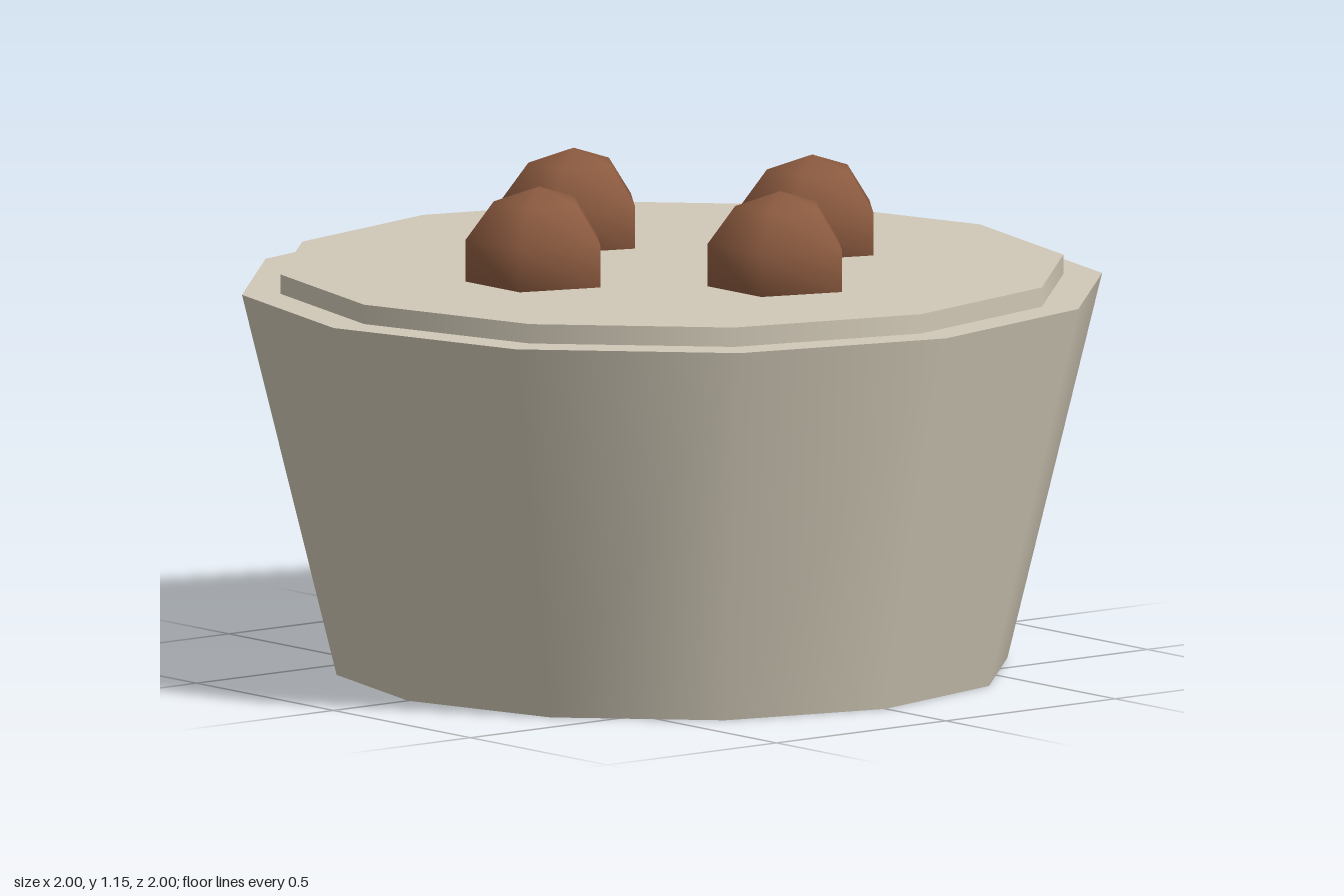
import * as THREE from 'three';

export function createModel() {
  const model = new THREE.Group();
  const stone = new THREE.MeshStandardMaterial({ name: 'pale stone', color: 0xd0c8b6 });
  const brown = new THREE.MeshStandardMaterial({ name: 'warm brown', color: 0x8b5a3f });

  const add = (name, geometry, material, x, y, z) => {
    const mesh = new THREE.Mesh(geometry, material);
    mesh.name = name;
    mesh.position.set(x, y, z);
    model.add(mesh);
    return mesh;
  };

  // Tapered twelve-sided cup, closed at both ends
  const cupHeight = 0.89;
  add('cup', new THREE.CylinderGeometry(1, 0.78, cupHeight, 12), stone, 0, cupHeight / 2, 0);

  // Thin raised filling, sunk slightly into the cup
  add('filling', new THREE.CylinderGeometry(0.91, 0.91, 0.085, 12), stone, 0, 0.8925, 0);

  // Five-sided round toppings, half sunk, each with a corner to the back
  const ball = new THREE.SphereGeometry(0.177, 5, 5);
  ball.rotateY(-Math.PI / 2);
  const spots = [[0.03, -0.39], [0.39, -0.005], [-0.01, 0.385], [-0.39, -0.025]];
  spots.forEach(([x, z], i) => add(`topping${i + 1}`, ball, brown, x, 0.978, z));

  return model;
}
